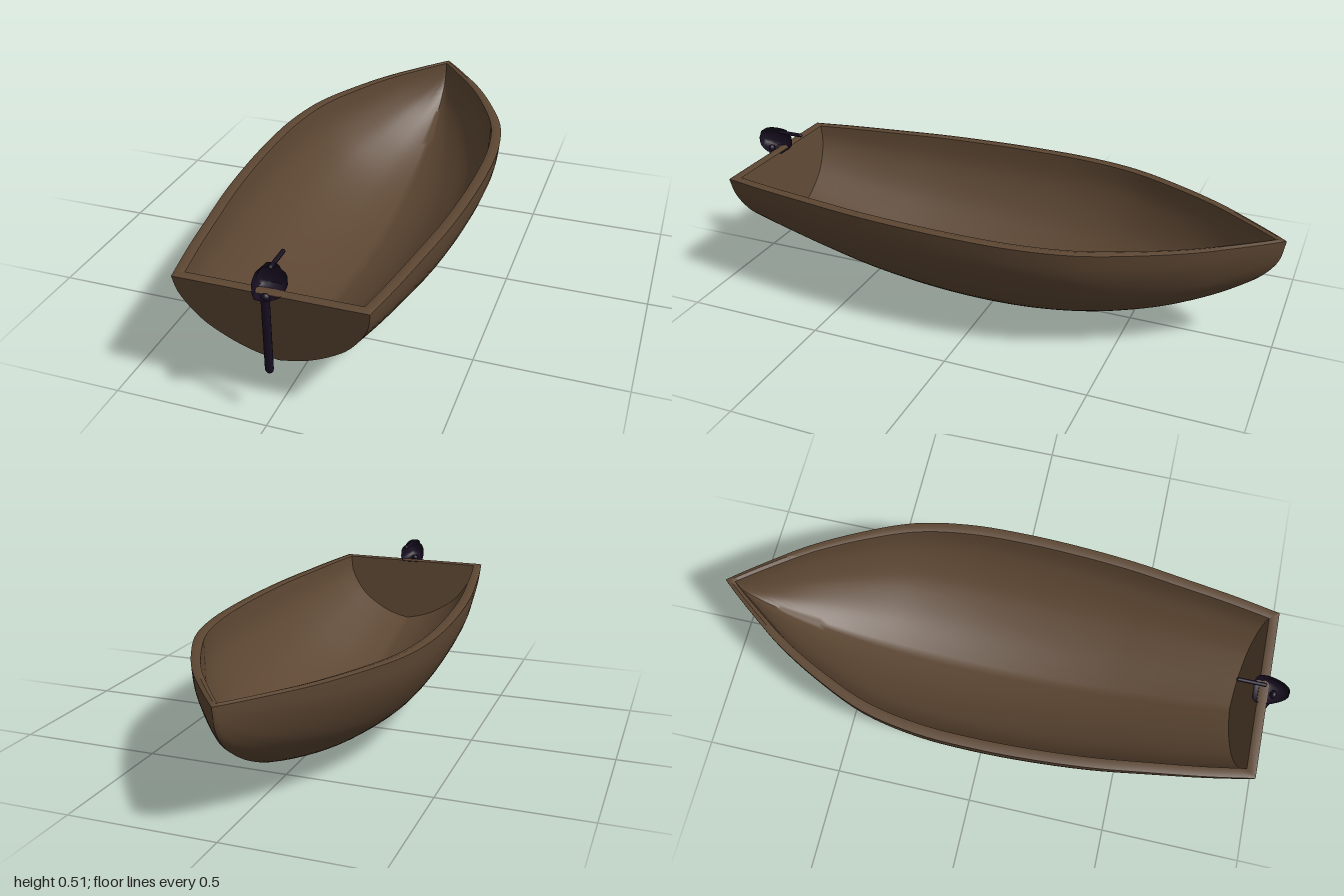
import * as THREE from 'three';
import { toCreasedNormals } from 'three/addons/utils/BufferGeometryUtils.js';

const hullMat = new THREE.MeshStandardMaterial({ color: 0x5c4632, side: THREE.DoubleSide });
const motorMat = new THREE.MeshStandardMaterial({ color: 0x170e20 });

// Skin between rows of points
function loft(rows, crease) {
  const n = rows[0].length, index = [];
  for (let i = 0; i < rows.length - 1; i++) {
    for (let j = 0; j < n - 1; j++) {
      const a = i * n + j, b = a + 1, d = a + n, c = d + 1;
      index.push(a, b, c, a, c, d);
    }
  }
  const geo = new THREE.BufferGeometry();
  geo.setAttribute('position', new THREE.Float32BufferAttribute(rows.flat(2), 3));
  geo.setIndex(index);
  return toCreasedNormals(geo, crease);
}

function add(group, name, geo, mat) {
  const mesh = new THREE.Mesh(geo, mat);
  mesh.name = name;
  group.add(mesh);
  return mesh;
}

// Stations from stern to bow: z, half width at the rim, keel height
const stations = [
  [0.89, 0.303, 0.16], [0.75, 0.332, 0.12], [0.58, 0.36, 0.075], [0.4, 0.387, 0.036],
  [0.2, 0.404, 0.01], [0, 0.41, 0], [-0.2, 0.402, 0.008], [-0.4, 0.364, 0.035],
  [-0.6, 0.277, 0.086], [-0.75, 0.192, 0.148], [-0.86, 0.112, 0.21], [-0.94, 0.05, 0.272],
  [-0.985, 0.013, 0.335], [-1, 0, 0.405],
];
const sheer = new THREE.CatmullRomCurve3(stations.map(([z, w, k]) => new THREE.Vector3(w, k, z)));

// Half section from rim to keel, as fractions of width and depth
const profile = new THREE.SplineCurve([
  [1, 1], [0.97, 0.79], [0.88, 0.59], [0.74, 0.39], [0.57, 0.245], [0.37, 0.12], [0.18, 0.045], [0, 0],
].map((p) => new THREE.Vector2(...p))).getPoints(20);

// Half section at t; the inner skin is a slightly smaller copy of the outer one
function halfSection(t, inner) {
  const p = sheer.getPoint(t);
  const rim = 0.41 + 0.0075 * (p.z + 1);
  const rake = 0.05 * Math.max(0, p.z / 0.89) ** 2;
  const [sw, sd, sz] = inner ? [0.91, 0.92, 0.965] : [1, 1, 1];
  return profile.map((q) => [
    p.x * q.x * sw,
    rim - (rim - p.y) * (1 - q.y) * sd,
    (p.z + rake * q.y) * sz,
  ]);
}

const mirror = ([x, y, z]) => [-x, y, z];
const crown = (a, b) => [(a[0] + b[0]) / 2, (a[1] + b[1]) / 2 + 0.005, (a[2] + b[2]) / 2];

// Closed loop: outer skin, right rim, inner skin, left rim
function hullLoop(t) {
  const out = halfSection(t, false), inn = halfSection(t, true);
  const top = crown(out[0], inn[0]);
  return [
    ...out, ...out.slice(0, -1).reverse().map(mirror), mirror(top),
    ...inn.map(mirror), ...inn.slice(0, -1).reverse(), top, out[0],
  ];
}

// Straight row across the boat from a to its mirror image
function across(a) {
  return Array.from({ length: 9 }, (_, i) => [a[0] * (1 - i / 4), a[1], a[2]]);
}

function createBoatHull() {
  const hull = new THREE.Group();
  hull.name = 'hull';
  const rows = Array.from({ length: 66 }, (_, i) => hullLoop(i / 65));
  add(hull, 'hullShell', loft(rows, 0.7), hullMat);

  // Stern board: inside face, rounded top edge, outside face
  const out = halfSection(0, false), inn = halfSection(0, true);
  const board = [...inn.slice().reverse(), crown(out[0], inn[0]), ...out].map(across);
  add(hull, 'transom', loft(board, 0.7), hullMat);
  return hull;
}

function createMotor() {
  const motor = new THREE.Group();
  motor.name = 'outboardMotor';

  // Cowling: lobed section lofted along z; each ring is z, half width, bottom, top
  const half = [[0, 1], [0.35, 0.99], [0.5, 0.92], [0.57, 0.8], [0.88, 0.7], [1, 0.55],
    [1, 0.22], [0.9, 0.06], [0.65, 0], [0, 0]];
  const loop = [...half, ...half.slice(0, -1).reverse().map(([x, y]) => [-x, y])];
  const rings = [
    [0.887, 0, 0.46, 0.465], [0.887, 0.034, 0.432, 0.495], [0.897, 0.044, 0.423, 0.506],
    [0.925, 0.047, 0.42, 0.509], [0.955, 0.04, 0.422, 0.509], [0.978, 0.03, 0.43, 0.505],
    [0.993, 0.021, 0.438, 0.495], [1, 0.014, 0.447, 0.483], [1, 0, 0.463, 0.464],
  ];
  const rows = rings.map(([z, w, lo, hi]) => loop.map(([x, y]) => [x * w, lo + (hi - lo) * y, z]));
  add(motor, 'cowling', loft(rows, 0.8), motorMat);

  // Drive leg with rounded foot
  const leg = add(motor, 'driveLeg', new THREE.CapsuleGeometry(0.0135, 0.25, 4, 12), motorMat);
  leg.position.set(0, 0.302, 0.957);
  leg.scale.z = 0.8;

  // Steering handle
  const tiller = add(motor, 'tiller', new THREE.CapsuleGeometry(0.007, 0.09, 4, 10), motorMat);
  tiller.rotation.x = Math.PI / 2;
  tiller.position.set(0, 0.499, 0.867);
  return motor;
}

export function createModel() {
  const boat = new THREE.Group();
  boat.name = 'motorBoat';
  boat.add(createBoatHull(), createMotor());
  return boat;
}
